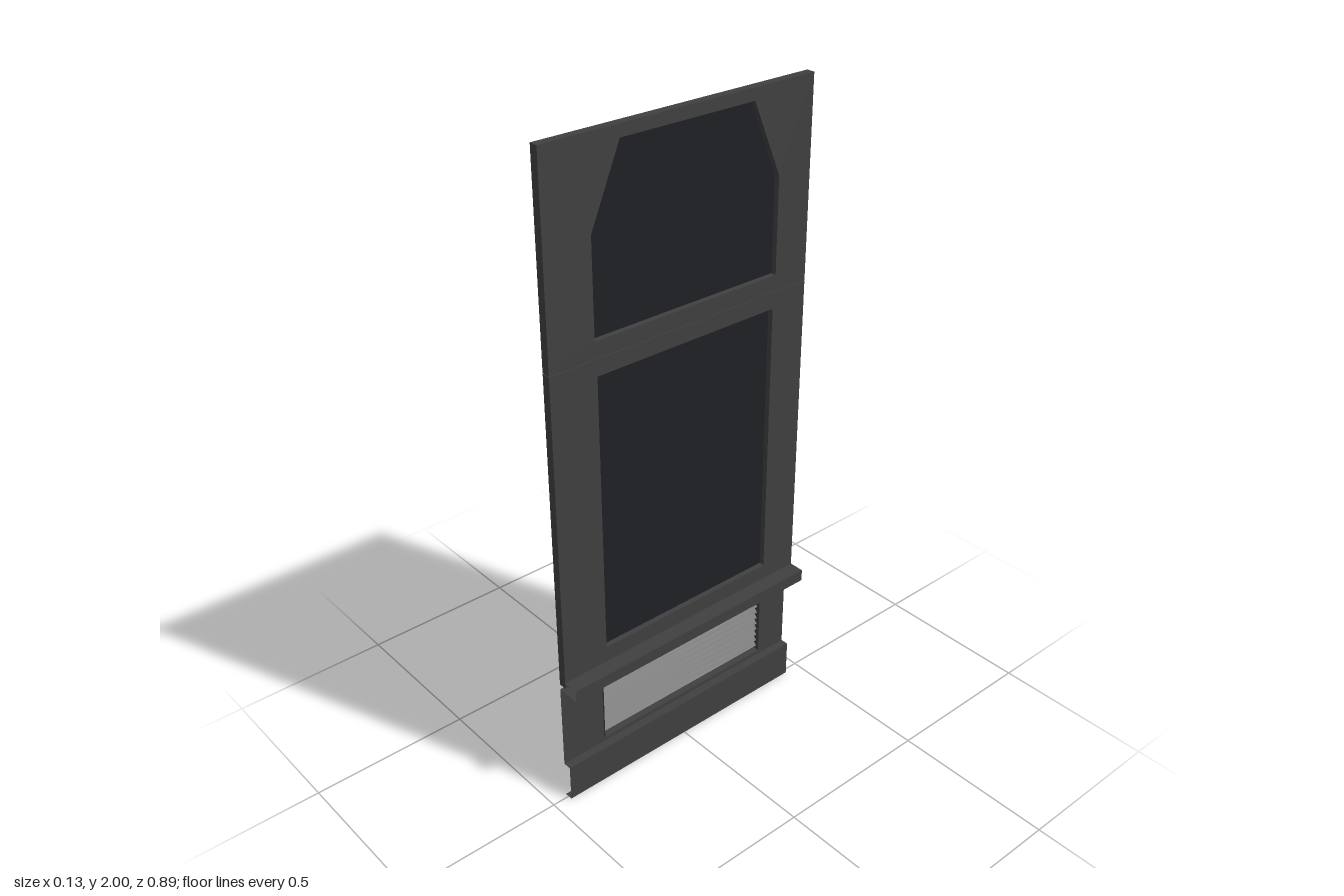
import * as THREE from 'three';

const frameMat = new THREE.MeshStandardMaterial({ color: 0x404040, side: THREE.DoubleSide });
const glassMat = new THREE.MeshStandardMaterial({ color: 0x1f2024, side: THREE.DoubleSide });

const FRONT = 0.013, BACK = -0.013, HALF = 0.445;

// corners of a rectangle as [z, y] pairs
const rect = (z0, z1, y0, y1) => [[z0, y0], [z1, y0], [z1, y1], [z0, y1]];

export function createModel() {
  const group = new THREE.Group();

  function add(name, geometry, material = frameMat) {
    const mesh = new THREE.Mesh(geometry, material);
    mesh.name = name;
    group.add(mesh);
    return mesh;
  }

  // flat sheet facing +x, outlined in [z, y], with an optional hole
  function sheet(name, outline, x, hole, material) {
    const toVec = (pts) => pts.map(([z, y]) => new THREE.Vector2(-z, y));
    const shape = new THREE.Shape(toVec(outline));
    if (hole) shape.holes.push(new THREE.Path(toVec(hole)));
    const geometry = new THREE.ShapeGeometry(shape).rotateY(Math.PI / 2);
    return add(name, geometry.translate(x, 0, 0), material);
  }

  // folded sheet: a polyline swept straight between two offsets
  function fold(pts, from, to) {
    const geometry = new THREE.PlaneGeometry(1, 1, pts.length - 1, 1);
    const pos = geometry.attributes.position;
    for (let i = 0; i < pos.count; i++) {
      const [a, b] = pts[i % pts.length];
      pos.setXYZ(i, a, b, i < pts.length ? to : from);
    }
    const flat = geometry.toNonIndexed();
    flat.computeVertexNormals();
    return flat;
  }

  // closed rim around a [z, y] outline, running along x
  function rim(name, outline, x0, x1) {
    const pts = [...outline, outline[0]].map(([z, y]) => [-z, y]);
    return add(name, fold(pts, x0, x1).rotateY(Math.PI / 2));
  }

  // upper and middle panels: folded edges, window opening, rim and pane
  const upperWindow = [
    [0.30, 1.46], [-0.33, 1.46], [-0.33, 1.745],
    [-0.235, 1.965], [0.205, 1.965], [0.30, 1.745],
  ];
  const middleWindow = rect(0.295, -0.323, 0.49, 1.36);
  const panels = [
    ['upper', rect(HALF, -HALF, 1.411, 2), upperWindow, rect(0.34, -0.35, 1.42, 1.985)],
    ['middle', rect(HALF, -HALF, 0.42, 1.409), middleWindow, middleWindow],
  ];
  for (const [name, outline, opening, pane] of panels) {
    sheet(name + 'Panel', outline, FRONT, opening);
    rim(name + 'PanelEdge', outline, BACK, FRONT);
    rim(name + 'WindowRim', opening, BACK - 0.002, FRONT);
    sheet(name + 'WindowPane', pane, -0.004, null, glassMat);
  }

  // window sill, open at both ends
  add('sill', fold([[BACK, 0.402], [0.062, 0.402], [0.062, 0.44], [FRONT, 0.44]], -HALF, HALF));

  // lower wall and skirting board
  const vent = rect(0.296, -0.332, 0.14, 0.38);
  sheet('lowerWall', rect(HALF, -HALF, 0.12, 0.402), BACK, vent);
  add('skirtingBoard', fold([[BACK, 0], [FRONT, 0], [FRONT, 0.12], [BACK, 0.12]], -HALF, HALF));

  // vent housing behind the wall
  rim('ventHousing', vent, -0.064, BACK + 0.006);
  sheet('ventBack', vent, -0.064);

  // sloping vent slats, their ends poking through the housing
  const SLATS = 10;
  for (let i = 0; i < SLATS; i++) {
    const slat = add('ventSlat', new THREE.BoxGeometry(0.024, 0.004, 0.642));
    slat.position.set(-0.027, 0.16 + (i * 0.2) / (SLATS - 1), -0.019);
    slat.rotation.z = -0.8;
  }
  return group;
}
